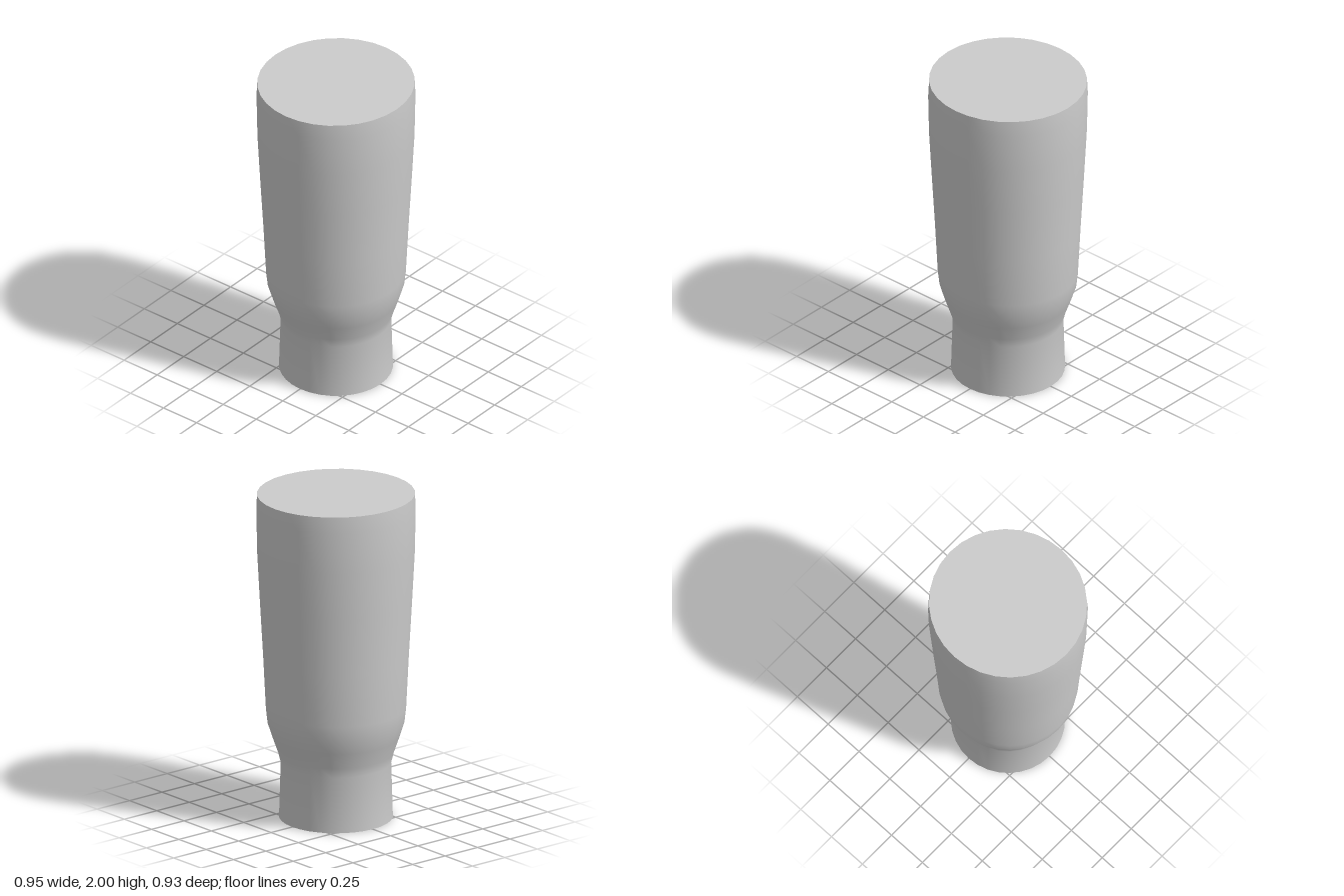
import * as THREE from 'three';
import { toCreasedNormals } from 'three/addons/utils/BufferGeometryUtils.js';

const SIDES = 32;
const material = new THREE.MeshStandardMaterial({ color: 0xcccccc, side: THREE.DoubleSide });

// Revolve [radius, height] pairs, optionally reshaping each vertex.
function revolve(name, profile, reshape) {
  const geometry = new THREE.LatheGeometry(profile.map(([r, y]) => new THREE.Vector2(r, y)), SIDES);
  const p = geometry.attributes.position;
  const v = new THREE.Vector3();
  for (let i = 0; i < p.count; i++) {
    v.fromBufferAttribute(p, i);
    reshape(v);
    p.setXYZ(i, v.x, v.y, v.z);
  }
  const mesh = new THREE.Mesh(toCreasedNormals(geometry, 0.6), material);
  mesh.name = name;
  return mesh;
}

// The body is slightly narrower front to back than side to side.
function squash(v) {
  v.z *= 1 - 0.02 * THREE.MathUtils.smoothstep(v.y, 0.3, 0.7);
}

// Turn the small round opening into an eight-sided one.
function octagonal(v) {
  const r = Math.hypot(v.x, v.z);
  if (v.y < 0.36 && r > 0.01 && r < 0.32) {
    const step = Math.PI / 4;
    const a = Math.atan2(v.z, v.x) + Math.PI * 2;
    const k = Math.cos(step / 2) / Math.cos((a % step) - step / 2);
    v.x *= k;
    v.z *= k;
  }
  squash(v);
}

export function createModel() {
  const group = new THREE.Group();
  group.name = 'tumbler';

  // Flared outer wall with a narrow neck and flat closed top
  group.add(revolve('outerWall', [
    [0.337, 0], [0.327, 0.34], [0.342, 0.4], [0.378, 0.5], [0.408, 0.59], [0.419, 0.68],
    [0.435, 1], [0.455, 1.35], [0.471, 1.65], [0.476, 1.9], [0.471, 2], [0, 2],
  ], squash));

  // Hollow inside and the flat bottom rim
  group.add(revolve('innerWallAndRim', [
    [0, 1.95], [0.43, 1.95], [0.43, 1.65], [0.395, 1], [0.375, 0.62],
    [0.305, 0.35], [0.308, 0], [0.337, 0],
  ], octagonal));

  return group;
}
